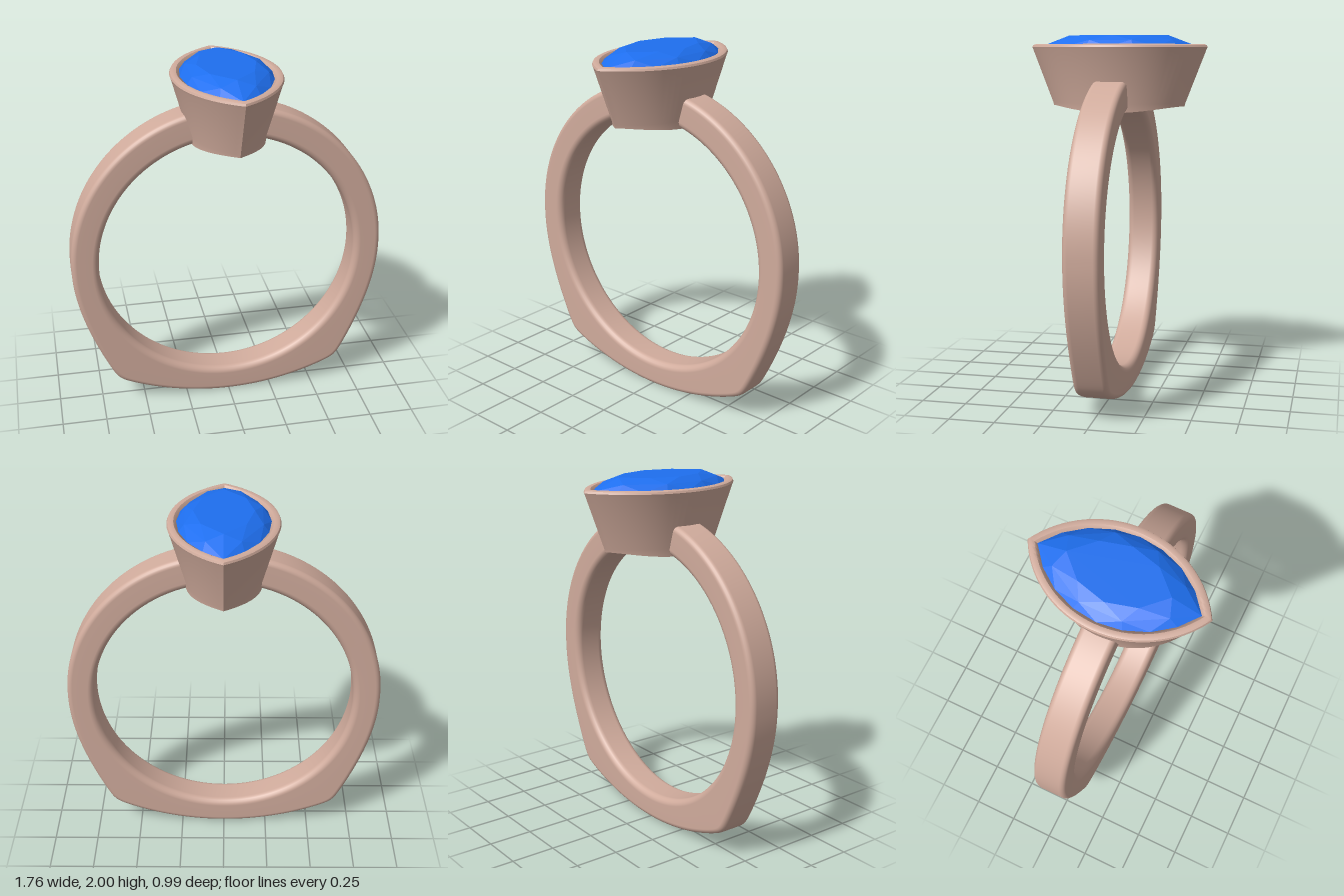
import * as THREE from 'three';
import { toCreasedNormals } from 'three/addons/utils/BufferGeometryUtils.js';
import { ConvexGeometry } from 'three/addons/geometries/ConvexGeometry.js';

const CENTRE_Y = 0.885; // centre of the finger hole
const HOLE_R = 0.73;

// Skins a list of closed rings of points
function loft(rings) {
  const n = rings[0].length;
  const index = [];
  for (let i = 0; i < rings.length - 1; i++) {
    for (let j = 0; j < n; j++) {
      const a = i * n + j, b = i * n + (j + 1) % n;
      index.push(a, b, b + n, a, b + n, a + n);
    }
  }
  const geo = new THREE.BufferGeometry().setFromPoints(rings.flat());
  geo.setIndex(index);
  geo.computeVertexNormals();
  return geo;
}

// Pointed oval made of two arcs: half-width w, half-length l, count points per side
function marquise(w, l, y, count, shift = 0) {
  const R = (w * w + l * l) / (2 * w);
  const half = Math.asin(l / R);
  const points = [];
  for (const side of [1, -1]) {
    for (let i = 0; i < count; i++) {
      const phi = half * (1 - 2 * (i + shift) / count);
      const x = side * (R * Math.cos(phi) - R + w);
      const height = y ?? CENTRE_Y + Math.sqrt(HOLE_R ** 2 - x * x);
      points.push(new THREE.Vector3(x, height, side * R * Math.sin(phi)));
    }
  }
  return points;
}

// Outer radius of the band: round shoulders, two soft corners, shallow arc base
function outerRadius(a) {
  if (a > 0) return 0.882 + 0.02 * Math.sin(a);
  const side = 0.882 + 0.17 * Math.abs(a) ** 3;
  const base = 0.605 * Math.sin(a) + Math.sqrt(1.49 ** 2 - (0.605 * Math.cos(a)) ** 2);
  const k = 0.012;
  return -k * Math.log(Math.exp(-side / k) + Math.exp(-base / k));
}

// Rounded rectangular section at angle a around the finger hole
function bandSection(a) {
  const inner = HOLE_R, outer = outerRadius(Math.asin(Math.sin(a)));
  const halfWidth = 0.095, steps = 5;
  const points = [];
  for (let c = 0; c < 4; c++) {
    const isOuter = c === 0 || c === 3;
    const fillet = isOuter ? 0.03 : 0.038;
    const r0 = isOuter ? outer - fillet : inner + fillet;
    const z0 = (c < 2 ? -1 : 1) * (halfWidth - fillet);
    for (let s = 0; s <= steps; s++) {
      const q = (c + s / steps) * Math.PI / 2;
      const r = r0 + fillet * Math.cos(q);
      points.push(new THREE.Vector3(r * Math.cos(a), CENTRE_Y + r * Math.sin(a), z0 - fillet * Math.sin(q)));
    }
  }
  return points;
}

export function createModel() {
  const group = new THREE.Group();
  const metal = new THREE.MeshStandardMaterial({ color: 0xd0ab9c });
  const blue = new THREE.MeshStandardMaterial({ color: 0x1e6fef, flatShading: true });
  const add = (name, geometry, material) => {
    const mesh = new THREE.Mesh(geometry, material);
    mesh.name = name;
    group.add(mesh);
  };

  // Band: runs under the finger from one side of the setting to the other
  const start = THREE.MathUtils.degToRad(-257), end = THREE.MathUtils.degToRad(77);
  const sections = [];
  for (let i = 0; i <= 240; i++) sections.push(bandSection(start + (end - start) * i / 240));
  add('band', loft(sections), metal);

  // Bezel: tapered cup, its base cut to the finger hole and pierced in the middle
  const profile = [ // half-width, half-length, height (none = follows the finger hole)
    [0.125, 0.21], [0.17, 0.29], [0.2, 0.36], [0.207, 0.372],
    [0.211, 0.376, 1.632], [0.292, 0.488, 1.92],
    [0.298, 0.495, 1.936], [0.293, 0.49, 1.947], [0.28, 0.475, 1.953],
    [0.262, 0.455, 1.951], [0.249, 0.44, 1.937],
    [0.24, 0.428, 1.915], [0.17, 0.29, 1.78], [0.125, 0.21],
  ];
  const bezel = loft(profile.map(([w, l, y]) => marquise(w, l, y, 32)));
  add('bezel', toCreasedNormals(bezel, 0.7), metal);

  // Gemstone: flat table, crown facets, girdle and a shallow pavilion
  add('gemstone', new ConvexGeometry([
    ...marquise(0.16, 0.28, 2.0, 4),
    ...marquise(0.218, 0.385, 1.974, 4, 0.5),
    ...marquise(0.248, 0.44, 1.94, 8),
    ...marquise(0.13, 0.23, 1.83, 4, 0.5),
    new THREE.Vector3(0, 1.76, 0),
  ]), blue);

  return group;
}
